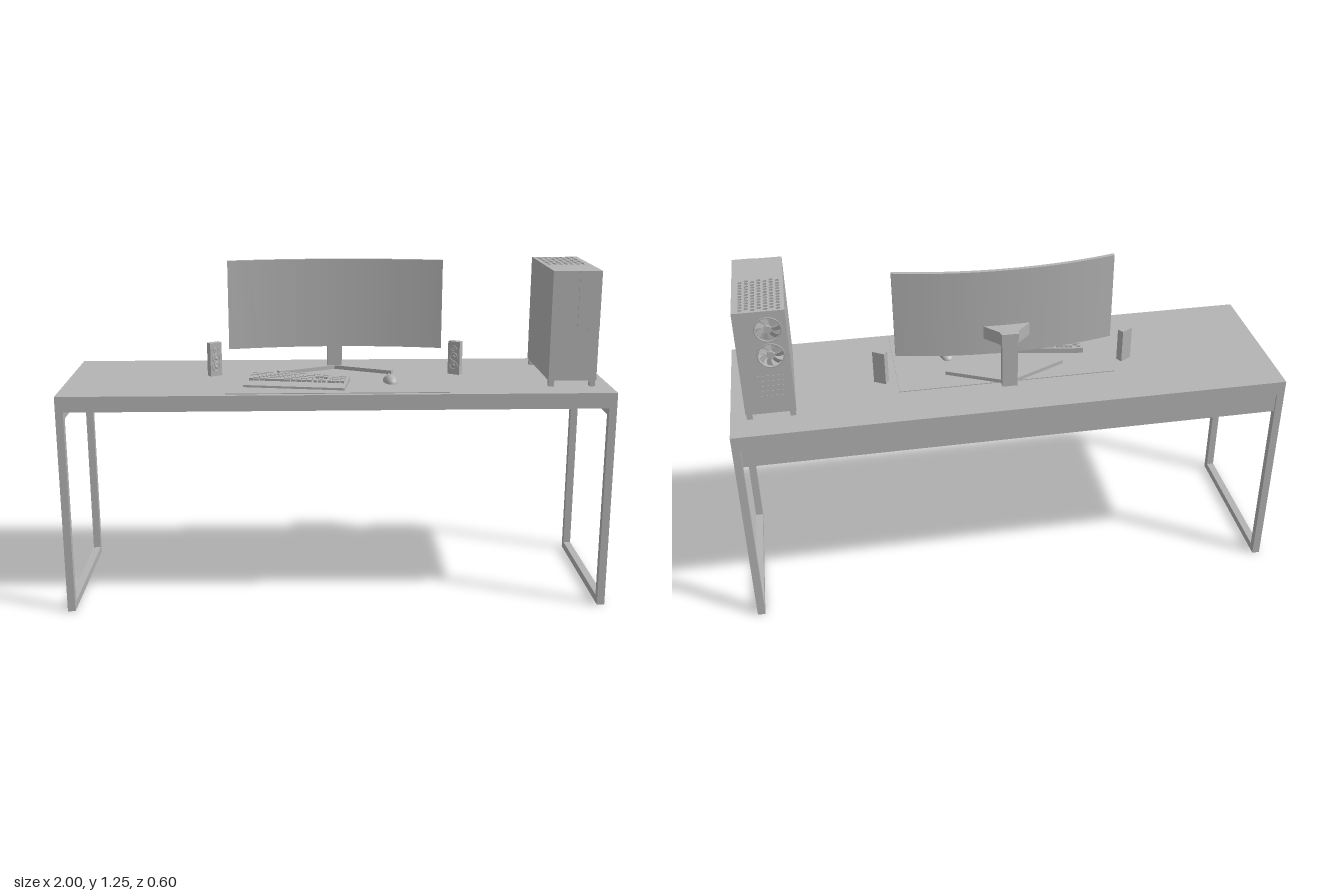
import * as THREE from 'three';

const grey = new THREE.MeshStandardMaterial({ color: 0xb4b4b4, side: THREE.DoubleSide });
grey.name = 'plain grey';

const DESK = 0.817; // height of the desk surface

function add(parent, name, geometry, x = 0, y = 0, z = 0) {
  const mesh = new THREE.Mesh(geometry, grey);
  mesh.name = name;
  mesh.position.set(x, y, z);
  parent.add(mesh);
  return mesh;
}

function group(parent, name, x = 0, y = 0, z = 0, yaw = 0) {
  const g = new THREE.Group();
  g.name = name;
  g.position.set(x, y, z);
  g.rotation.y = yaw;
  parent.add(g);
  return g;
}

// Box given by its lower and upper limits on each axis
function block(parent, name, x0, x1, y0, y1, z0, z1) {
  return add(parent, name, new THREE.BoxGeometry(x1 - x0, y1 - y0, z1 - z0),
    (x0 + x1) / 2, (y0 + y1) / 2, (z0 + z1) / 2);
}

const rect = (C, w, h) => new C([[-w, -h], [w, -h], [w, h], [-w, h]]
  .map(([x, y]) => new THREE.Vector2(x / 2, y / 2)));

const extrude = (shape, depth, curveSegments = 16) =>
  new THREE.ExtrudeGeometry(shape, { depth, bevelEnabled: false, curveSegments });

function hole(x, y, r, sides) {
  const pts = [];
  for (let i = 0; i < sides; i++) {
    const a = (i / sides) * Math.PI * 2;
    pts.push(new THREE.Vector2(x + r * Math.cos(a), y + r * Math.sin(a)));
  }
  return new THREE.Path(pts);
}

// Fan facing +z, with ring, hub and twisted blades
function fan(parent, x, y, z, yaw) {
  const g = group(parent, 'fan', x, y, z, yaw);
  add(g, 'fanRing', new THREE.TorusGeometry(0.045, 0.003, 6, 32));
  add(g, 'fanHub', new THREE.CylinderGeometry(0.014, 0.014, 0.012, 20).rotateX(Math.PI / 2), 0, 0, -0.004);
  const blade = new THREE.Shape();
  blade.moveTo(0.012, -0.006);
  blade.quadraticCurveTo(0.028, -0.016, 0.042, -0.005);
  blade.lineTo(0.039, 0.016);
  blade.quadraticCurveTo(0.026, 0.001, 0.012, 0.006);
  for (let i = 0; i < 7; i++) {
    const arm = group(g, 'fanBladeArm', 0, 0, -0.006);
    arm.rotation.z = (i / 7) * Math.PI * 2;
    add(arm, 'fanBlade', extrude(blade, 0.001, 6)).rotation.x = 0.35;
  }
}

function buildDesk(root) {
  const desk = group(root, 'desk');
  block(desk, 'deskTop', -1, 1, 0.76, DESK, -0.3, 0.3);
  block(desk, 'backApron', -0.97, 0.97, 0.69, 0.76, -0.297, -0.275);
  // Closed rectangular leg frames
  const frame = rect(THREE.Shape, 0.6, 0.76);
  frame.holes.push(rect(THREE.Path, 0.546, 0.702));
  const geo = extrude(frame, 0.028).rotateY(Math.PI / 2);
  for (const x of [-1, 0.972]) add(desk, 'legFrame', geo, x, 0.38, 0);
  block(desk, 'deskMat', -0.4, 0.4, DESK, DESK + 0.003, -0.115, 0.28);
}

function buildMonitor(root) {
  const monitor = group(root, 'monitor');
  // Curved panel: plan outline between two arcs, extruded upward
  const R = 1.7, front = 0.062, t = 0.015, half = Math.asin(0.4 / R);
  const plan = [];
  const n = 28;
  for (let i = 0; i <= n; i++) {
    const a = -half + (2 * half * i) / n;
    plan.push(new THREE.Vector2(R * Math.sin(a), front - R + R * Math.cos(a)));
  }
  for (let i = n; i >= 0; i--) plan.push(new THREE.Vector2(plan[i].x, plan[i].y + t));
  add(monitor, 'curvedPanel', extrude(new THREE.Shape(plan), 0.332).rotateX(-Math.PI / 2), 0, 0.92, 0);

  // Neck tapering from the panel back to the column head
  const neck = new THREE.Shape([[-0.085, 0.074], [0.085, 0.074], [0.036, 0.125], [0.03, 0.148], [-0.03, 0.148], [-0.036, 0.125]]
    .map(p => new THREE.Vector2(...p)));
  add(monitor, 'standHead', extrude(neck, 0.05).rotateX(-Math.PI / 2), 0, 0.985, 0);
  block(monitor, 'standColumn', -0.028, 0.028, DESK, 0.99, -0.145, -0.115);
  for (const s of [-1, 1]) {
    block(monitor, 'columnRail', s * 0.022 - 0.005, s * 0.022 + 0.005, DESK, 0.99, -0.115, -0.108);
    // Splayed foot
    const foot = group(monitor, 'standFoot', 0, DESK + 0.01, -0.125, s > 0 ? -0.45 : Math.PI + 0.45);
    add(foot, 'footBar', new THREE.BoxGeometry(0.24, 0.014, 0.022), 0.12, 0, 0);
  }
}

function buildSpeakers(root) {
  for (const s of [-1, 1]) {
    const sp = group(root, s > 0 ? 'leftSpeaker' : 'rightSpeaker', s * 0.457, DESK, -0.028, -s * 0.55);
    block(sp, 'speakerCabinet', -0.024, 0.024, 0, 0.127, -0.013, 0.013);
    for (const [y, r] of [[0.035, 0.015], [0.068, 0.015], [0.1, 0.01]]) {
      add(sp, 'speakerRing', new THREE.TorusGeometry(r, 0.002, 6, 24), 0, y, 0.013);
      add(sp, 'speakerCone', new THREE.SphereGeometry(r * 0.45, 12, 6).scale(1, 1, 0.4), 0, y, 0.013);
    }
  }
}

function buildKeyboard(root) {
  const kb = group(root, 'keyboard', -0.145, DESK + 0.003, 0.138, -0.17);
  // Wedge-shaped base, higher at the back
  const side = new THREE.Shape([[-0.077, 0], [0.077, 0], [0.077, 0.008], [0.045, 0.012], [-0.077, 0.02]]
    .map(p => new THREE.Vector2(...p)));
  add(kb, 'keyboardBase', extrude(side, 0.372).rotateY(-Math.PI / 2), 0.186, 0, 0);
  const u = 0.0157;
  // Each row lists key widths; negative entries are gaps
  const pad = [-0.3, 1, 1, 1, -0.3, 1, 1, 1, 1];
  const rows = [
    [1, -1, 1, 1, 1, 1, -0.5, 1, 1, 1, 1, -0.5, 1, 1, 1, 1, -0.3, 1, 1, 1],
    [...Array(13).fill(1), 2, ...pad],
    [1.5, ...Array(12).fill(1), 1.5, ...pad],
    [1.75, ...Array(11).fill(1), 2.25, -3.6, 1, 1, 1, 1],
    [2.25, ...Array(10).fill(1), 2.75, -1.3, 1, -1.3, 1, 1, 1, 1],
    [1.25, 1.25, 1.25, 6.25, 1.25, 1.25, 1.25, 1.25, -0.3, 1, 1, 1, -0.3, 2, 1, 1],
  ];
  rows.forEach((row, r) => {
    let x = -0.177;
    const z = -0.062 + r * u;
    for (const w of row) {
      if (w > 0) {
        const k = add(kb, 'key', new THREE.BoxGeometry(w * u - 0.003, 0.009, u - 0.003),
          x + (w * u) / 2, 0.0225 - r * 0.001, z);
        k.rotation.x = 0.065;
      }
      x += Math.abs(w) * u;
    }
  });
}

function buildMouse(root) {
  const mouse = group(root, 'mouse', 0.2, DESK + 0.003, 0.112, 0.15);
  const body = new THREE.SphereGeometry(1, 24, 10, 0, Math.PI * 2, 0, Math.PI / 2);
  const p = body.attributes.position;
  // Narrow the waist and raise the palm end
  for (let i = 0; i < p.count; i++) {
    const z = p.getZ(i);
    p.setXYZ(i, p.getX(i) * (0.025 + 0.005 * z * z), p.getY(i) * (0.026 + 0.004 * z), z * 0.05);
  }
  body.computeVertexNormals();
  add(mouse, 'mouseBody', body);
  add(mouse, 'scrollWheel', new THREE.CylinderGeometry(0.007, 0.007, 0.005, 16).rotateZ(Math.PI / 2), 0, 0.019, -0.028);
}

function buildTower(root) {
  const w = 0.175, h = 0.4, d = 0.4, t = 0.004;
  const pc = group(root, 'computerTower', 0.857, 1.04, 0);
  const panel = (sx, sy, holes) => {
    const s = rect(THREE.Shape, sx, sy);
    s.holes.push(...holes);
    return extrude(s, t);
  };
  // Panels of the case
  add(pc, 'frontPanel', panel(w, h, []), 0, 0, d / 2 - t);
  add(pc, 'rearPanel', panel(w, h, [hole(0.025, 0.13, 0.045, 32), hole(0.025, 0.03, 0.045, 32)])
    .rotateY(Math.PI), 0, 0, -d / 2 + t);
  add(pc, 'leftPanel', panel(d, h, [hole(-0.145, -0.13, 0.045, 32)]).rotateY(Math.PI / 2), w / 2 - t, 0, 0);
  add(pc, 'rightPanel', panel(d, h, []).rotateY(-Math.PI / 2), -w / 2 + t, 0, 0);
  add(pc, 'bottomPanel', panel(w, d, []).rotateX(Math.PI / 2), 0, -h / 2 + t, 0);
  // Honeycomb vent in the roof
  const vents = [];
  for (let i = 0; i < 7; i++) for (let j = 0; j < 11; j++)
    vents.push(hole(-0.066 + i * 0.021, 0.183 - j * 0.02 - (i % 2) * 0.01, 0.0085, 6));
  add(pc, 'ventedRoof', panel(w, d, vents).rotateX(-Math.PI / 2), 0, h / 2 - t, 0);

  // Fans behind the round openings
  fan(pc, w / 2 - 0.001, -0.13, 0.145, Math.PI / 2);
  for (const y of [0.13, 0.03]) fan(pc, -0.025, y, -d / 2 + 0.001, Math.PI);

  // Front door, latch, rear slot covers and feet
  block(pc, 'frontDoor', 0.008, w / 2, -0.01, h / 2, d / 2, d / 2 + 0.003);
  block(pc, 'doorLatch', 0.045, 0.065, -0.018, -0.01, d / 2, d / 2 + 0.003);
  for (let i = 0; i < 5; i++)
    block(pc, 'slotCover', -0.06, 0.03, -0.06 - i * 0.02, -0.048 - i * 0.02, -d / 2 - 0.001, -d / 2);
  for (const x of [-0.075, 0.075]) for (const z of [-0.185, 0.185])
    block(pc, 'foot', x - 0.01, x + 0.01, DESK - 1.04, -h / 2, z - 0.01, z + 0.01);
}

export function createModel() {
  const root = new THREE.Group();
  root.name = 'computerDesk';
  buildDesk(root);
  buildMonitor(root);
  buildSpeakers(root);
  buildKeyboard(root);
  buildMouse(root);
  buildTower(root);
  return root;
}
